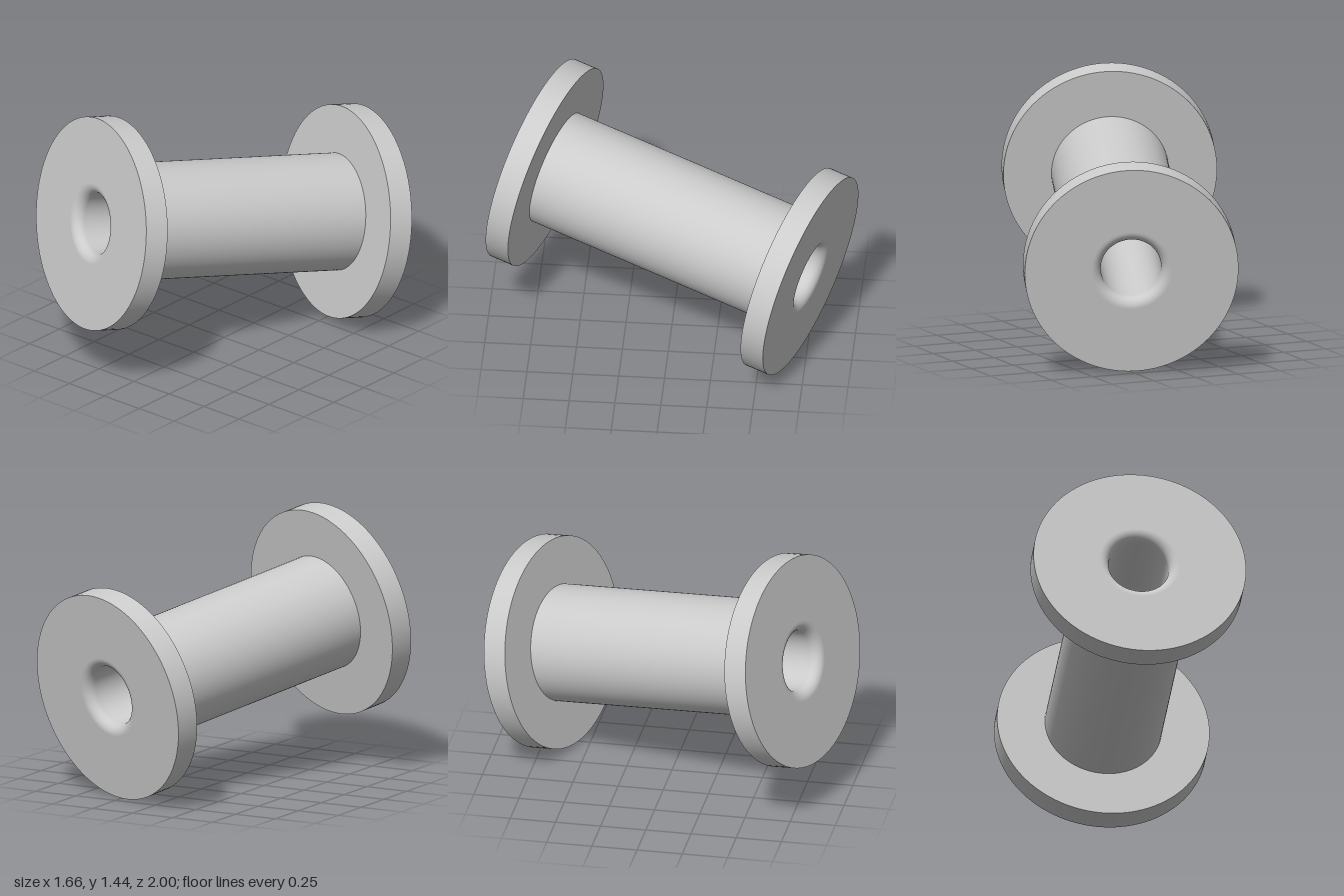
import * as THREE from 'three';

const SEGMENTS = 96;
const HALF = 0.841;          // half length along the axis
const FLANGE_R = 0.582;
const FLANGE_T = 0.135;
const BARREL_R = 0.32;
const BORE_R = 0.165;
const FILLET = 0.055;        // rounding of the bore mouth

const material = new THREE.MeshStandardMaterial({ color: 0xcccccc });

// Revolves one smooth section of the profile; separate sections meet in sharp edges.
function revolve(name, points) {
  const profile = points.map(([r, y]) => new THREE.Vector2(r, y));
  const mesh = new THREE.Mesh(new THREE.LatheGeometry(profile, SEGMENTS), material);
  mesh.name = name;
  return mesh;
}

function createFlange(name) {
  const flange = new THREE.Group();
  flange.name = name;
  const inner = HALF - FLANGE_T;

  // rounded mouth, from the outer face into the bore
  const mouth = [];
  for (let i = 0; i <= 12; i++) {
    const a = (i / 12) * Math.PI / 2;
    mouth.push([BORE_R + FILLET * (1 - Math.sin(a)), HALF - FILLET * (1 - Math.cos(a))]);
  }

  flange.add(
    revolve('flangeInnerFace', [[BARREL_R, inner], [FLANGE_R, inner]]),
    revolve('flangeRim', [[FLANGE_R, inner], [FLANGE_R, HALF]]),
    revolve('flangeOuterFace', [[FLANGE_R, HALF], [BORE_R + FILLET, HALF]]),
    revolve('boreMouth', mouth)
  );
  return flange;
}

export function createModel() {
  const model = new THREE.Group();
  model.name = 'spool';

  const barrelEnd = HALF - FLANGE_T;
  const boreEnd = HALF - FILLET;
  const front = createFlange('frontFlange');
  const back = createFlange('backFlange');
  back.rotation.x = Math.PI;

  const spool = new THREE.Group();
  spool.name = 'spoolBody';
  spool.add(
    front,
    back,
    revolve('barrel', [[BARREL_R, -barrelEnd], [BARREL_R, barrelEnd]]),
    revolve('bore', [[BORE_R, boreEnd], [BORE_R, -boreEnd]])
  );

  // tilt the spool axis towards the front, upwards and to one side
  const axis = new THREE.Vector3(-0.283, 0.1475, 0.778).normalize();
  spool.quaternion.setFromUnitVectors(new THREE.Vector3(0, 1, 0), axis);
  spool.position.y = 0.72;
  model.add(spool);
  return model;
}
